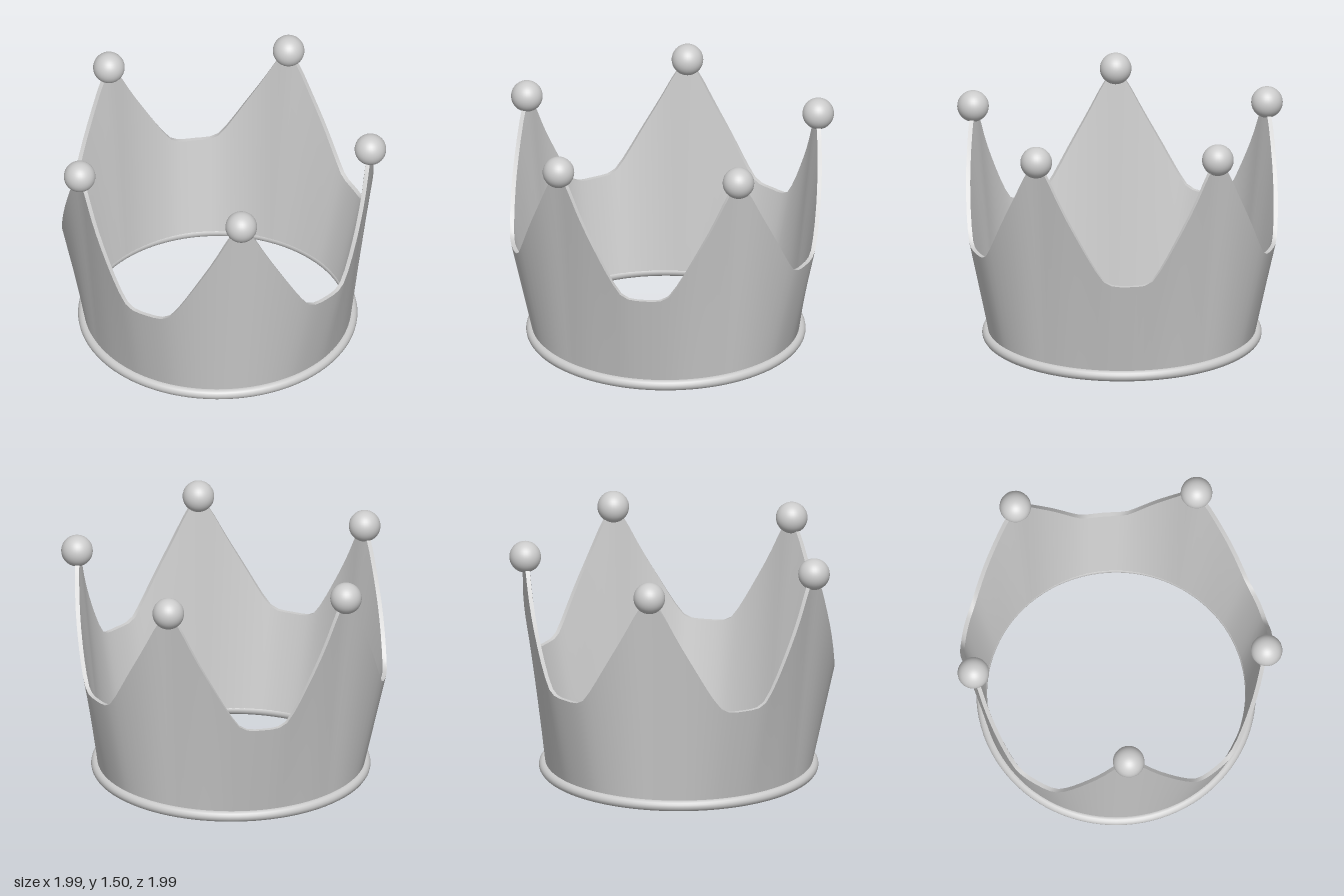
import * as THREE from 'three';

const material = new THREE.MeshStandardMaterial({ color: 0xcccccc });
const POINTS = 5, STEPS = 24, COLUMNS = POINTS * STEPS;
const START = THREE.MathUtils.degToRad(50);

// Rim height from the tip of a point to the middle of a valley, every 3 degrees
const RIM = [1.41, 1.355, 1.27, 1.175, 1.085, 1.0, 0.915, 0.83, 0.75, 0.685, 0.66, 0.655, 0.655];
const rimHeight = (i) => RIM[Math.min(i % STEPS, STEPS - (i % STEPS))];
const bottomHeight = () => 0.03;

// Closed strip between two rings, each given as a radius and a height per column
function strip([r0, h0], [r1, h1]) {
  const positions = [], index = [];
  for (let i = 0; i < COLUMNS; i++) {
    const a = START + (i / COLUMNS) * Math.PI * 2;
    const c = Math.cos(a), s = Math.sin(a);
    positions.push(r0 * c, h0(i), r0 * s, r1 * c, h1(i), r1 * s);
    const p = 2 * i, q = 2 * ((i + 1) % COLUMNS);
    index.push(p, p + 1, q, q, p + 1, q + 1);
  }
  const geometry = new THREE.BufferGeometry();
  geometry.setAttribute('position', new THREE.Float32BufferAttribute(positions, 3));
  geometry.setIndex(index);
  geometry.computeVertexNormals();
  return geometry;
}

export function createModel() {
  const crown = new THREE.Group();
  crown.name = 'crown';
  const add = (name, geometry, parent = crown) => {
    const mesh = new THREE.Mesh(geometry, material);
    mesh.name = name;
    parent.add(mesh);
    return mesh;
  };

  // Flared band with five points: outer wall, rim, inner wall and underside
  const band = new THREE.Group();
  band.name = 'band';
  crown.add(band);
  const rings = [
    [0.813, bottomHeight], [0.954, rimHeight], [0.928, rimHeight], [0.79, bottomHeight],
  ];
  ['outerWall', 'rim', 'innerWall', 'underside'].forEach((name, i) =>
    add(name, strip(rings[i], rings[(i + 1) % 4]), band));

  // Rounded base ring
  const base = add('baseRing', new THREE.TorusGeometry(0.822, 0.033, 16, 96));
  base.rotation.x = Math.PI / 2;
  base.position.y = 0.033;

  // Ball on each point
  const ball = new THREE.SphereGeometry(0.097, 32, 20);
  for (let i = 0; i < POINTS; i++) {
    const a = START + (i / POINTS) * Math.PI * 2;
    add('ball', ball).position.set(0.946 * Math.cos(a), 1.405, 0.946 * Math.sin(a));
  }

  crown.position.set(0.013, 0, 0.043);
  const model = new THREE.Group();
  model.add(crown);
  return model;
}
